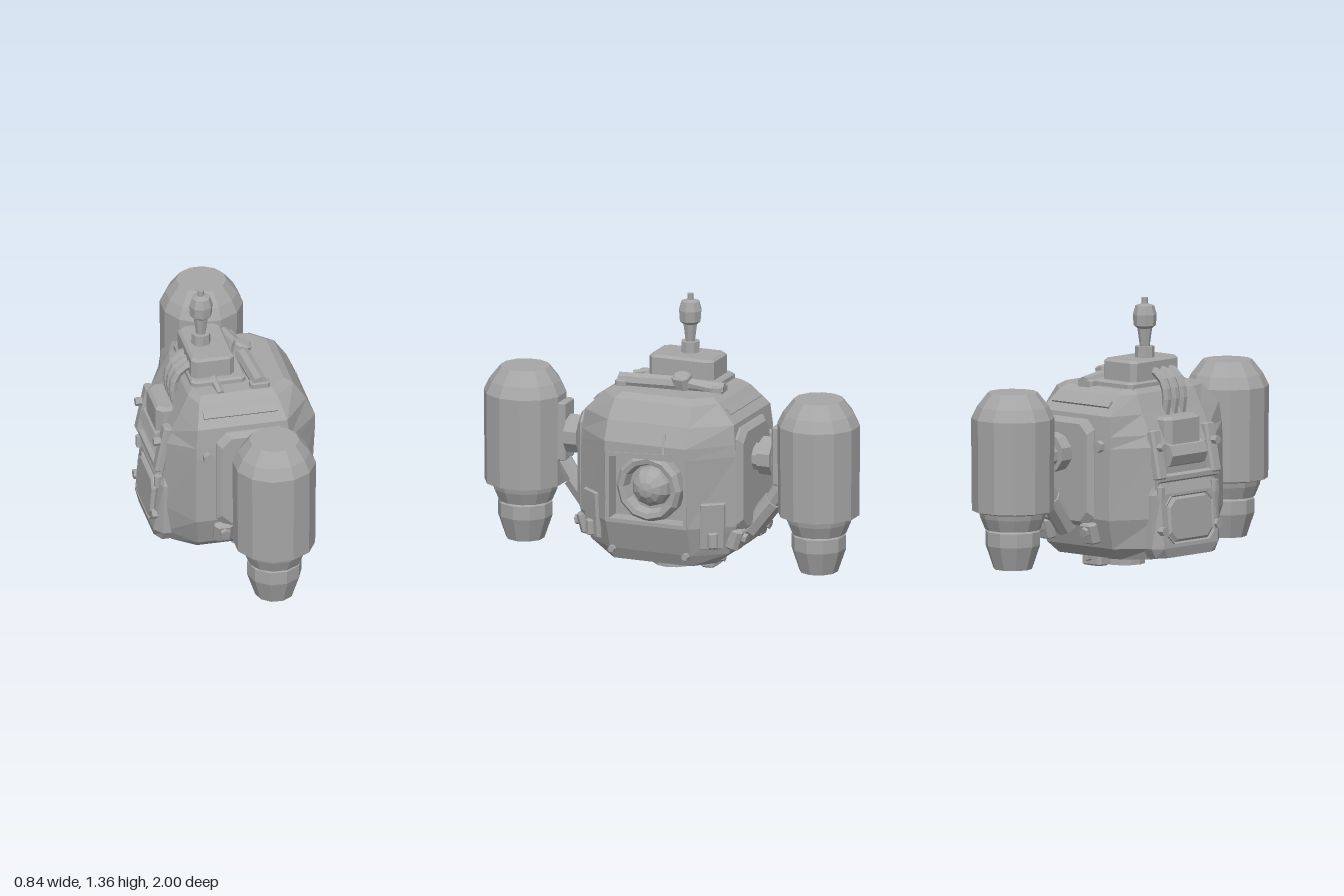
import * as THREE from 'three';

const metal = new THREE.MeshStandardMaterial({ color: 0xa6a6a6, flatShading: true, side: THREE.DoubleSide });
metal.name = 'grey metal';
const V = (x, y, z) => new THREE.Vector3(x, y, z);

function add(parent, name, geo, pos = [0, 0, 0], rot = [0, 0, 0]) {
  const mesh = new THREE.Mesh(geo, metal);
  mesh.name = name;
  mesh.position.set(...pos);
  mesh.rotation.set(...rot);
  parent.add(mesh);
  return mesh;
}

// Eight-sided loft; each ring is [y, +x face, -x face, half depth, half width of x faces, half width of z faces]
function loft(rings, openRow = -1) {
  const pos = [], idx = [];
  for (const [y, px, nx, hz, zc, xc] of rings) {
    pos.push(px, y, zc, px, y, -zc, xc, y, -hz, -xc, y, -hz,
      nx, y, -zc, nx, y, zc, -xc, y, hz, xc, y, hz);
  }
  for (let r = 0; r < rings.length - 1; r++) {
    for (let i = 0; i < 8; i++) {
      if (r === openRow && i === 0) continue; // leaves the porthole opening
      const a = r * 8 + i, b = r * 8 + (i + 1) % 8;
      idx.push(a, b, b + 8, a, b + 8, a + 8);
    }
  }
  const t = (rings.length - 1) * 8;
  for (let i = 1; i < 7; i++) idx.push(0, i + 1, i, t, t + i, t + i + 1);
  const geo = new THREE.BufferGeometry();
  geo.setAttribute('position', new THREE.Float32BufferAttribute(pos, 3));
  geo.setIndex(idx);
  geo.computeVertexNormals();
  return geo;
}

// Box with cut corners and bevelled top and bottom, centred on the origin
function chamferBox(w, h, d, c) {
  const ring = (y, s) => [y, w / 2 - s, s - w / 2, d / 2 - s, d / 2 - s - c, w / 2 - s - c];
  return loft([ring(-h / 2, c / 2), ring(-h / 2 + c / 2, 0), ring(h / 2 - c / 2, 0), ring(h / 2, c / 2)]);
}

const lathe = (pts, n) => new THREE.LatheGeometry(pts.map(p => new THREE.Vector2(...p)), n);

function rod(parent, name, a, b, r, sides = 8) {
  const dir = b.clone().sub(a);
  const mesh = add(parent, name, new THREE.CylinderGeometry(r, r, dir.length(), sides));
  mesh.position.copy(a).add(b).multiplyScalar(0.5);
  mesh.quaternion.setFromUnitVectors(V(0, 1, 0), dir.normalize());
}

export function createModel() {
  const model = new THREE.Group();
  model.name = 'probe';

  // Faceted hull
  add(model, 'hull', loft([
    [0.07, 0.315, -0.32, 0.30, 0.21, 0.21],
    [0.13, 0.345, -0.35, 0.375, 0.22, 0.22],
    [0.28, 0.395, -0.37, 0.425, 0.22, 0.24],
    [0.64, 0.415, -0.36, 0.42, 0.22, 0.24],
    [0.70, 0.415, -0.33, 0.415, 0.22, 0.24],
    [0.80, 0.37, -0.28, 0.405, 0.22, 0.23],
    [0.895, 0.305, -0.235, 0.31, 0.21, 0.20],
    [0.92, 0.26, -0.21, 0.27, 0.19, 0.18],
  ], 2));

  // Porthole: recess, frame, ring and dome
  const porthole = new THREE.Group();
  porthole.name = 'porthole';
  model.add(porthole);
  add(porthole, 'recessBack', new THREE.BoxGeometry(0.02, 0.36, 0.44), [0.30, 0.46, 0]);
  for (const s of [-1, 1]) {
    add(porthole, 'recessSide', new THREE.BoxGeometry(0.10, 0.36, 0.02), [0.35, 0.46, s * 0.212]);
    add(porthole, 'recessEdge', new THREE.BoxGeometry(0.10, 0.02, 0.44), [0.35, 0.46 + s * 0.172, 0]);
    add(porthole, 'frameBolt', new THREE.CylinderGeometry(0.018, 0.018, 0.03, 6), [0.365, 0.13, s * 0.2], [0, 0, Math.PI / 2]);
  }
  add(porthole, 'lensRing', lathe([[0.175, 0], [0.175, 0.06], [0.155, 0.085], [0.13, 0.08], [0.115, 0.03]], 12),
    [0.305, 0.465, 0], [0, 0, -Math.PI / 2]);
  add(porthole, 'lensDome', new THREE.SphereGeometry(0.105, 10, 4, 0, Math.PI * 2, 0, Math.PI / 2),
    [0.31, 0.465, 0], [0, 0, -Math.PI / 2]);
  add(porthole, 'brow', new THREE.BoxGeometry(0.025, 0.02, 0.34), [0.408, 0.645, 0.03], [0.06, 0, 0]);
  add(porthole, 'browFin', new THREE.BoxGeometry(0.03, 0.1, 0.015), [0.395, 0.71, -0.1], [0.1, 0, 0.3]);

  // Tanks with their mounts, one at the front and one at the back
  for (const s of [1, -1]) {
    const side = new THREE.Group();
    side.name = s > 0 ? 'frontTank' : 'backTank';
    model.add(side);
    const turn = [0, Math.PI / 12, 0];
    add(side, 'tank', lathe([[0.0, 0.25], [0.138, 0.25], [0.163, 0.31], [0.168, 0.335], [0.205, 0.345],
      [0.209, 0.81], [0.18, 0.87], [0.125, 0.94], [0, 0.94]], 12), [0.07, 0, s * 0.798], turn);
    add(side, 'nozzle', lathe([[0, 0.075], [0.03, 0.075], [0.045, 0.05], [0.097, 0.05], [0.138, 0.17],
      [0.138, 0.24], [0.12, 0.26]], 10), [0.07, 0, s * 0.798], turn);
    add(side, 'mountPlate', chamferBox(0.38, 0.06, 0.54, 0.05), [0.05, 0.51, s * 0.422], [Math.PI / 2, 0, 0]);
    rod(side, 'mountArm', V(0.05, 0.6, s * 0.44), V(0.05, 0.6, s * 0.64), 0.07, 10);
    rod(side, 'mountCollar', V(0.05, 0.61, s * 0.49), V(0.05, 0.61, s * 0.56), 0.1, 10);
    add(side, 'tankBracket', chamferBox(0.13, 0.3, 0.05, 0.012), [0.06, 0.63, s * 0.585]);
    rod(side, 'lowerStrut', V(0.05, 0.47, s * 0.6), V(0.05, 0.3, s * 0.49), 0.045);
    rod(side, 'strutSleeve', V(0.05, 0.38, s * 0.545), V(0.05, 0.22, s * 0.42), 0.055);
    // Clamps, bolts and edge trim around the mount
    for (const x of [-0.1, 0.2]) {
      add(side, 'clamp', chamferBox(0.1, 0.11, 0.08, 0.02), [x, 0.21, s * 0.4], [s * 0.3, 0, 0]);
      rod(side, 'clampBolt', V(x, 0.22, s * 0.42), V(x, 0.21, s * 0.465), 0.026, 6);
    }
    rod(side, 'hullBolt', V(-0.18, 0.65, s * 0.4), V(-0.18, 0.65, s * 0.45), 0.03, 6);
    add(side, 'shoulderTrim', new THREE.BoxGeometry(0.38, 0.02, 0.04), [0, 0.852, s * 0.355], [s * 0.77, 0, 0]);
    // Armour on the slanted corners
    add(side, 'cornerGuard', chamferBox(0.03, 0.24, 0.13, 0.01), [0.315, 0.29, s * 0.325], [0, s * -0.65, -0.06]);
    add(side, 'cornerKnob', chamferBox(0.05, 0.08, 0.05, 0.012), [0.325, 0.22, s * 0.33], [0, s * -0.65, 0]);
    // Foot block under the hull
    add(side, 'footBlock', chamferBox(0.13, 0.07, 0.08, 0.015), [0.05, 0.045, s * 0.205]);
    rod(side, 'footPin', V(0.05, 0.055, s * 0.17), V(0.05, 0.055, s * 0.28), 0.02, 6);
  }

  // Base disc
  add(model, 'baseDisc', lathe([[0, 0], [0.105, 0], [0.105, 0.03], [0.115, 0.035], [0.115, 0.08]], 12), [0.04, 0, 0]);

  // Equipment on the right-hand (-x) side
  add(model, 'lowerHatch', loft([
    [0.08, 0.1, -0.10, 0.22, 0.16, 0.07],
    [0.13, 0.1, -0.11, 0.25, 0.20, 0.07],
    [0.40, 0.1, -0.085, 0.25, 0.20, 0.07],
    [0.47, 0.1, -0.06, 0.22, 0.17, 0.05],
  ]), [-0.3, 0, 0]);
  add(model, 'hatchPanel', chamferBox(0.24, 0.025, 0.34, 0.04), [-0.4, 0.27, 0], [0, 0, Math.PI / 2 - 0.08]);
  for (const z of [-0.2, 0.2]) {
    rod(model, 'hatchHinge', V(-0.385, 0.38, z), V(-0.385, 0.44, z), 0.022, 6);
    rod(model, 'hatchBolt', V(-0.38, 0.22, z), V(-0.42, 0.22, z), 0.025, 6);
    add(model, 'sidePlate', chamferBox(0.05, 0.25, 0.07, 0.012), [-0.36, 0.6, z], [0, 0, -0.2]);
    rod(model, 'sideBolt', V(-0.36, 0.64, z), V(-0.41, 0.64, z), 0.022, 6);
  }
  rod(model, 'sideBar', V(-0.38, 0.48, -0.22), V(-0.38, 0.48, 0.22), 0.022, 6);
  add(model, 'sideBox', chamferBox(0.18, 0.22, 0.26, 0.03), [-0.285, 0.67, 0]);
  rod(model, 'sideDrum', V(-0.335, 0.59, -0.13), V(-0.335, 0.59, 0.13), 0.07);

  // Hoses from the roof box down to the side box
  for (const z of [-0.04, 0.02, 0.08]) {
    const path = new THREE.CatmullRomCurve3([V(-0.17, 1.0, z), V(-0.24, 0.97, z), V(-0.28, 0.89, z), V(-0.265, 0.76, z)]);
    add(model, 'hose', new THREE.TubeGeometry(path, 6, 0.023, 6));
  }

  // Roof box and antenna
  add(model, 'roofBase', chamferBox(0.28, 0.05, 0.42, 0.02), [-0.07, 0.925, -0.02]);
  add(model, 'roofBox', chamferBox(0.22, 0.15, 0.35, 0.025), [-0.09, 0.98, -0.02]);
  add(model, 'antenna', lathe([[0.05, 1.03], [0.048, 1.11], [0.025, 1.11], [0.037, 1.2], [0.056, 1.215],
    [0.06, 1.27], [0.047, 1.315], [0.016, 1.325], [0.016, 1.355], [0, 1.355]], 8), [-0.115, 0, -0.02]);

  // Roof pipe with its joint and end fittings
  rod(model, 'roofPipe', V(0.1, 0.945, -0.07), V(0.125, 0.94, 0.26), 0.04);
  rod(model, 'roofPipe', V(0.06, 0.93, -0.28), V(0.1, 0.945, -0.07), 0.035);
  rod(model, 'roofRod', V(0.09, 0.93, -0.25), V(0.12, 0.96, -0.07), 0.02, 6);
  add(model, 'pipeJoint', chamferBox(0.085, 0.1, 0.09, 0.02), [0.1, 0.95, -0.07], [0, -0.1, -0.3]);
  add(model, 'pipeEnd', chamferBox(0.1, 0.05, 0.06, 0.012), [0.125, 0.925, 0.24]);
  add(model, 'pipeEnd', chamferBox(0.1, 0.05, 0.06, 0.012), [0.06, 0.925, -0.25]);
  rod(model, 'roofStrut', V(-0.09, 0.94, 0.15), V(-0.08, 0.915, 0.27), 0.02, 6);

  return model;
}
